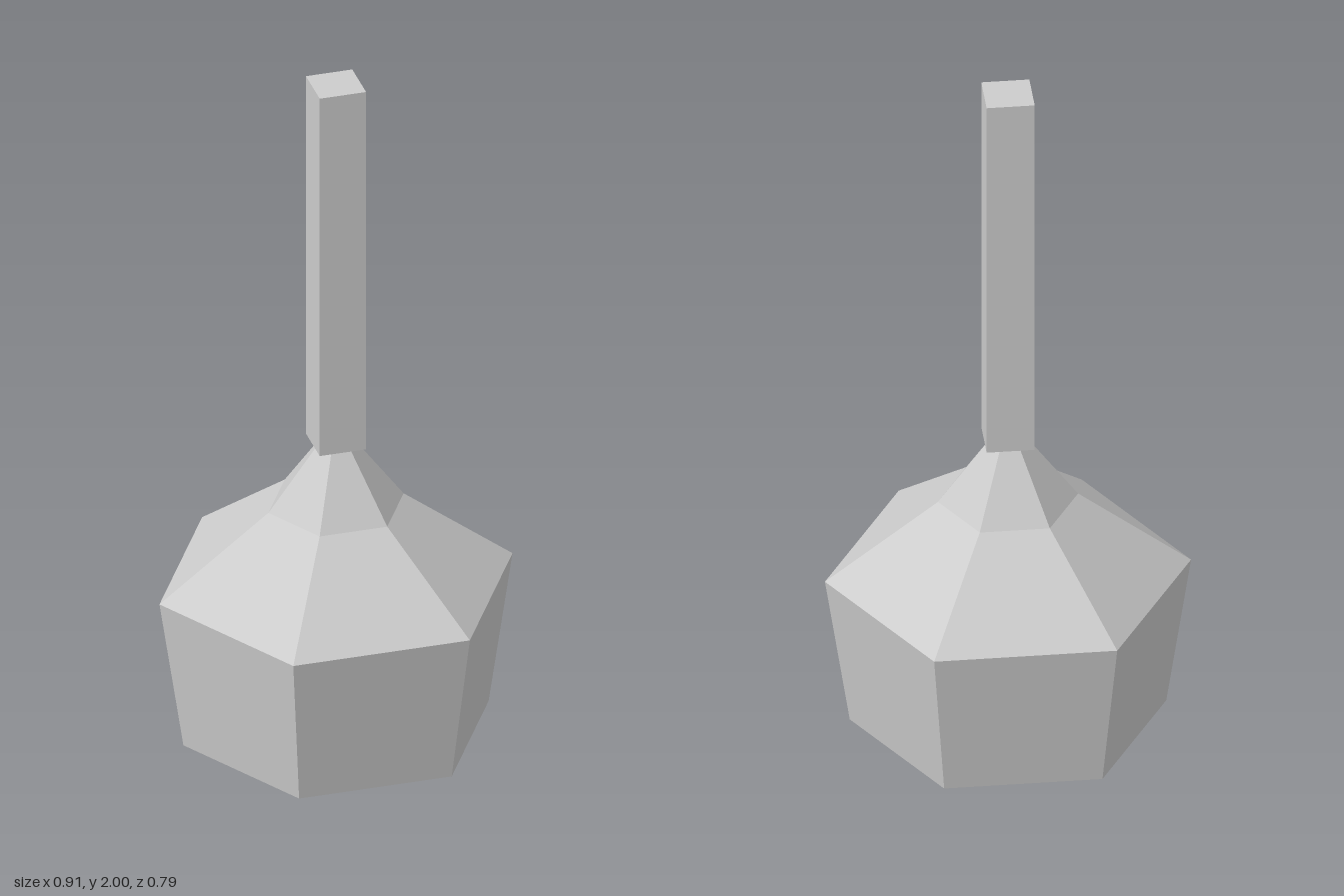
import * as THREE from 'three';

export function createModel() {
  const model = new THREE.Group();
  const grey = new THREE.MeshStandardMaterial({ color: 0xcccccc, flatShading: true });
  grey.name = 'plain grey';

  // Six-sided head: pointed base, flared sides, shoulders and neck
  const profile = [
    [0, 0], [0.395, 0.185], [0.457, 0.595], [0.175, 0.81], [0.042, 0.99], [0, 0.99],
  ].map(([r, y]) => new THREE.Vector2(r, y));
  const head = new THREE.Mesh(new THREE.LatheGeometry(profile, 6, Math.PI / 2), grey);
  head.name = 'head';
  model.add(head);

  // Square handle standing on the neck
  const bottom = 0.985, top = 2;
  const handle = new THREE.Mesh(new THREE.BoxGeometry(0.12, top - bottom, 0.12), grey);
  handle.position.y = (top + bottom) / 2;
  handle.name = 'handle';
  model.add(handle);

  return model;
}
